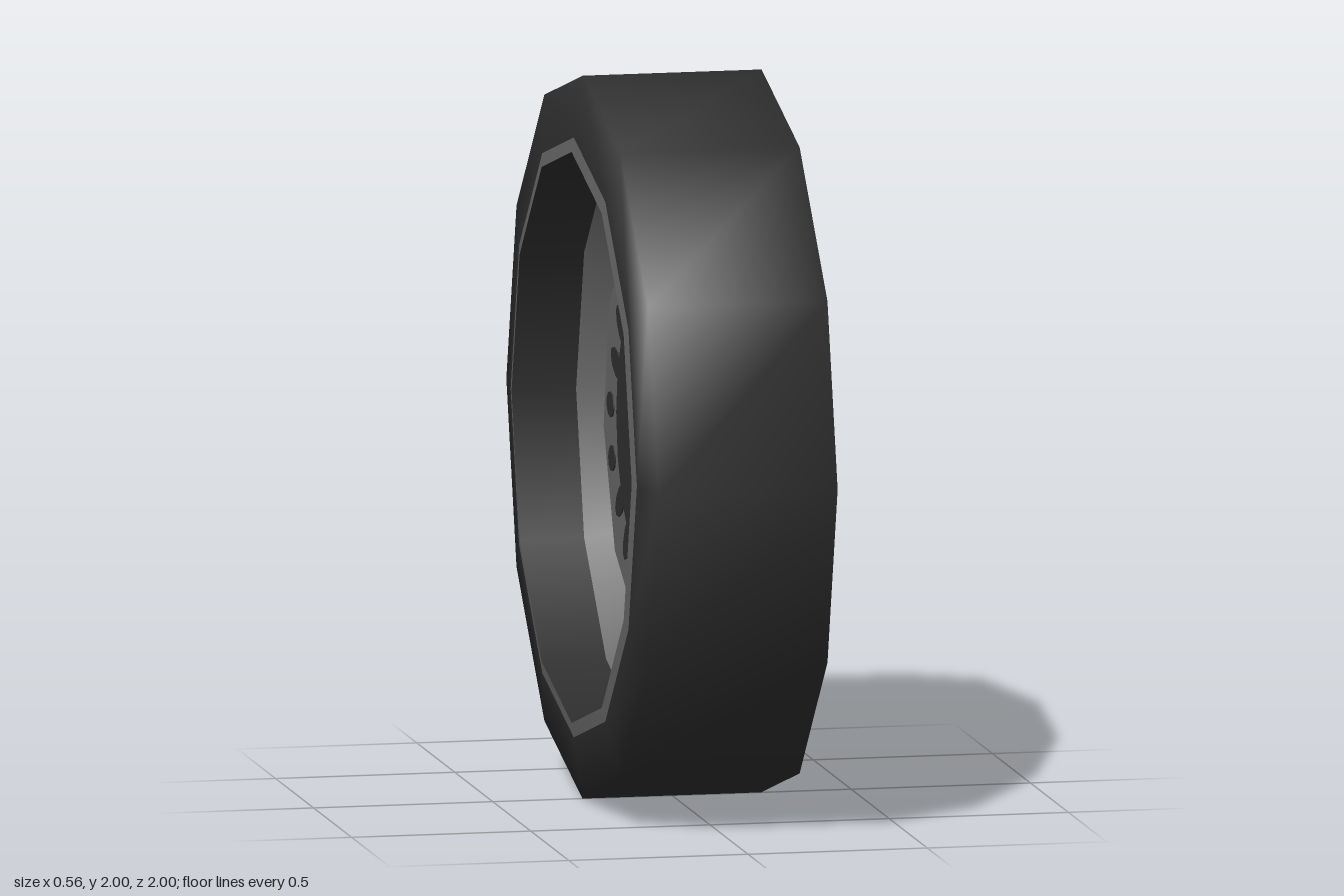
import * as THREE from 'three';
import { toCreasedNormals } from 'three/addons/utils/BufferGeometryUtils.js';

const rad = THREE.MathUtils.degToRad;

function material(name, color) {
  const m = new THREE.MeshStandardMaterial({ color });
  m.name = name;
  return m;
}

// Surface through a stack of equal-length rings, with optional end cap
function loft(rings, cap, crease) {
  const n = rings[0].length;
  const index = [];
  for (let i = 0; i < rings.length - 1; i++) {
    for (let j = 0; j < n; j++) {
      const a = i * n + j, b = i * n + (j + 1) % n;
      index.push(a, b, b + n, a, b + n, a + n);
    }
  }
  if (cap) {
    const s = (rings.length - 1) * n;
    for (let j = 1; j < n - 1; j++) index.push(s, s + j, s + j + 1);
  }
  const g = new THREE.BufferGeometry();
  g.setAttribute('position', new THREE.Float32BufferAttribute(rings.flat(2), 3));
  g.setIndex(index);
  return toCreasedNormals(g, crease);
}

export function createModel() {
  const rubber = material('rubber', 0x2e2e2e);
  const metal = material('metal', 0x666666);
  const dark = material('darkMetal', 0x303030);

  const model = new THREE.Group();
  model.name = 'wheel';
  const wheel = new THREE.Group();
  wheel.name = 'wheelAssembly';
  wheel.position.y = 1;
  model.add(wheel);

  function add(name, geometry, mat, parent = wheel) {
    const mesh = new THREE.Mesh(geometry, mat);
    mesh.name = name;
    parent.add(mesh);
    return mesh;
  }

  // Twelve-sided ring about the axle (x); points are [radius, x]
  function ring(name, points, mat) {
    const g = new THREE.LatheGeometry(points.map(p => new THREE.Vector2(...p)), 12);
    g.rotateZ(-Math.PI / 2);
    return add(name, g, mat);
  }

  // Cylinder or prism along the axle, turned by an angle in degrees
  function drum(name, radius, width, sides, x, turn, mat) {
    const g = new THREE.CylinderGeometry(radius, radius, width, sides);
    g.rotateZ(-Math.PI / 2);
    g.rotateX(rad(turn));
    g.translate(x, 0, 0);
    return add(name, g, mat);
  }

  // Tyre and rim, one mesh for each hard-edged band
  ring('tyre', [[0.83, -0.274], [1, -0.25], [1, 0.25], [0.83, 0.274]], rubber);
  ring('outerRimLip', [[0.83, 0.274], [0.75, 0.285]], metal);
  ring('rimBarrel', [[0.75, 0.285], [0.745, -0.02]], metal);
  ring('rimStep', [[0.745, -0.02], [0.79, -0.1]], metal);
  ring('innerBarrel', [[0.79, -0.1], [0.79, -0.28]], rubber);
  ring('innerRimLip', [[0.79, -0.28], [0.83, -0.274]], metal);

  // Hub: six sloping blocks that meet a hexagonal face with a recess
  const hubRing = (r, x, offset) => {
    const pts = [];
    for (let k = 0; k < 6; k++) {
      for (const a of [60 * k + offset, 60 * (k + 1) - offset]) {
        pts.push([x, r * Math.cos(rad(a)), r * Math.sin(rad(a))]);
      }
    }
    return pts;
  };
  add('hub', loft([
    hubRing(0.338, -0.04, 17.2),
    hubRing(0.338, 0.115, 17.2),
    hubRing(0.185, 0.25, 0),
    hubRing(0.09, 0.25, 0),
    hubRing(0.09, 0.19, 0),
  ], false, 0.2), metal);
  drum('hubRecess', 0.092, 0.02, 6, 0.185, 30, dark);
  drum('hubCollar', 0.4, 0.06, 6, 0.03, 30, dark);

  // Tapered rounded spokes
  const section = (y, w, back, side, front) => {
    const mid = side + (front - side) * 0.75;
    return [
      [back, y, w], [side, y, w], [mid, y, w * 0.6], [front, y, 0],
      [mid, y, -w * 0.6], [side, y, -w], [back, y, -w],
    ];
  };
  const spokeGeometry = loft([
    section(0.18, 0.004, 0.06, 0.245, 0.25),
    section(0.325, 0.1, 0.06, 0.115, 0.245),
    section(0.75, 0.055, 0.11, 0.15, 0.235),
  ], true, 0.9);
  for (let k = 0; k < 6; k++) {
    add('spoke', spokeGeometry, metal).rotation.x = rad(60 * k);
  }

  // Brake disc with dark centre, pale cap and painted holes and slots
  const discX = -0.05;
  drum('brakeDisc', 0.573, 0.04, 10, discX, -6.7, metal);
  drum('brakeDiscCentre', 0.385, 0.048, 20, discX, 0, dark);
  drum('brakeDiscCap', 0.18, 0.008, 10, discX - 0.026, -6.7, metal);
  const holeGeometry = new THREE.CylinderGeometry(1, 1, 0.047, 10);
  holeGeometry.rotateZ(-Math.PI / 2);
  for (let k = 0; k < 20; k++) {
    const slot = k % 4 === 1 || k % 4 === 2;
    const pivot = new THREE.Group();
    pivot.name = slot ? 'discSlot' : 'discHole';
    pivot.rotation.x = rad(-89 + 18 * k);
    wheel.add(pivot);
    const hole = add(pivot.name + 'Mark', holeGeometry, dark, pivot);
    hole.position.set(discX, slot ? 0.41 : 0.47, 0);
    hole.scale.set(1, slot ? 0.075 : 0.045, 0.036);
  }

  return model;
}
